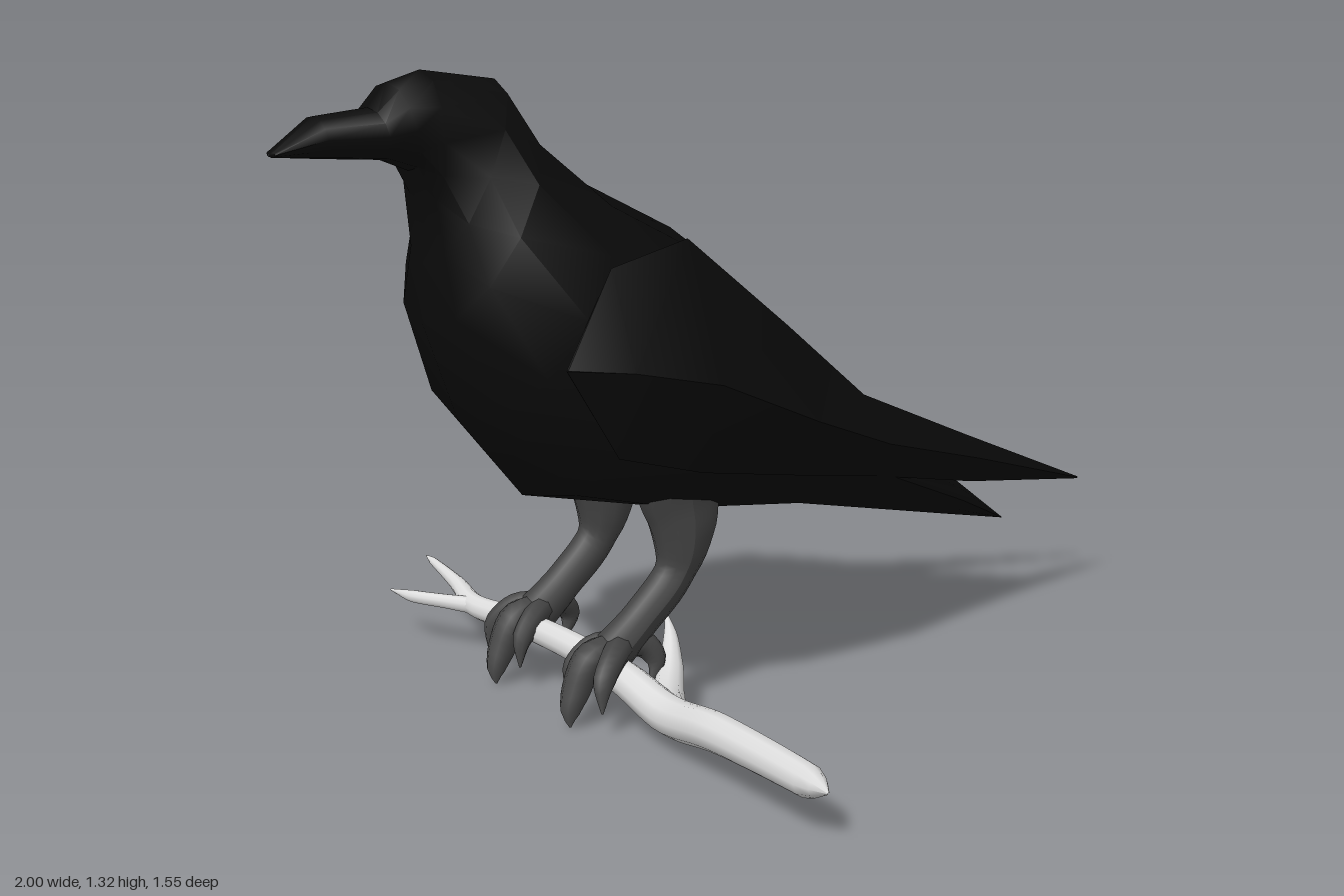
import * as THREE from 'three';
import { toCreasedNormals } from 'three/addons/utils/BufferGeometryUtils.js';

const material = (name, color) => {
  const m = new THREE.MeshStandardMaterial({ color });
  m.name = name;
  return m;
};

// Skin joining rings of [x, y, z] points; rings advance along +x and turn from +y to +z
function loft(rings, crease) {
  const n = rings[0].length, index = [];
  for (let i = 0; i < rings.length - 1; i++) {
    for (let j = 0; j < n; j++) {
      const a = i * n + j, b = i * n + (j + 1) % n;
      index.push(a, b, a + n, b, b + n, a + n);
    }
  }
  const g = new THREE.BufferGeometry();
  g.setAttribute('position', new THREE.Float32BufferAttribute(rings.flat(2), 3));
  g.setIndex(index);
  g.computeVertexNormals();
  return crease ? toCreasedNormals(g, crease) : g;
}

// Tube through [x, y, z, radius] points
function taperTube(points, segments = 20, sides = 10) {
  const curve = new THREE.CatmullRomCurve3(points.map(p => new THREE.Vector3(p[0], p[1], p[2])));
  const g = new THREE.TubeGeometry(curve, segments, 1, sides);
  const pos = g.attributes.position, v = new THREE.Vector3();
  for (let i = 0; i <= segments; i++) {
    const u = i / segments, centre = curve.getPointAt(u);
    const t = curve.getUtoTmapping(u) * (points.length - 1);
    const k = Math.min(Math.floor(t), points.length - 2);
    const r = THREE.MathUtils.lerp(points[k][3], points[k + 1][3], t - k);
    for (let j = 0; j <= sides; j++) {
      const id = i * (sides + 1) + j;
      v.fromBufferAttribute(pos, id).sub(centre).multiplyScalar(r).add(centre);
      pos.setXYZ(id, v.x, v.y, v.z);
    }
  }
  return g;
}

export function createModel() {
  const feather = material('black feathers', 0x0a0a0a);
  const skin = material('grey leg skin', 0x444444);
  const wood = material('pale wood', 0xdcdcdc);

  const model = new THREE.Group();
  model.name = 'perchedBird';
  const add = (parent, name, geometry, mat) => {
    const mesh = new THREE.Mesh(geometry, mat);
    mesh.name = name;
    parent.add(mesh);
    return mesh;
  };

  const bird = new THREE.Group();
  bird.name = 'bird';
  bird.position.z = -0.135;
  model.add(bird);

  // Beak, head, body and tail: top x, top y, bottom x, bottom y, half width
  const sections = [
    [-1.0, 1.18, -1.0, 1.178, 0.001],
    [-0.995, 1.186, -0.995, 1.174, 0.02],
    [-0.91, 1.245, -0.9, 1.165, 0.055],
    [-0.8, 1.255, -0.78, 1.155, 0.075],
    [-0.76, 1.3, -0.72, 1.13, 0.09],
    [-0.69, 1.32, -0.69, 1.06, 0.1],
    [-0.53, 1.295, -0.695, 0.95, 0.13],
    [-0.48, 1.2, -0.7, 0.83, 0.2],
    [-0.34, 1.08, -0.63, 0.63, 0.27],
    [-0.13, 0.97, -0.49, 0.455, 0.315],
    [0.06, 0.79, -0.25, 0.4, 0.31],
    [0.27, 0.58, 0.1, 0.355, 0.22],
    [0.6, 0.34, 0.58, 0.247, 0.095],
    [0.79, 0.2, 0.79, 0.198, 0.001],
  ];
  const sides = 12;
  const bodyRings = sections.map(([tx, ty, bx, by, w]) => Array.from({ length: sides }, (_, j) => {
    const a = j / sides * Math.PI * 2, s = Math.sin(a);
    const f = (1 + Math.cos(a)) / 2;
    return [bx + (tx - bx) * f, by + (ty - by) * f, w * Math.sign(s) * Math.abs(s) ** 0.85];
  }));
  add(bird, 'body', loft(bodyRings, 0.7), feather);

  // Wing stations: x, then [y, z] of the upper edge, outer ridge, lower edge and inner face
  const wingStations = [
    [-0.545, [0.772, 0.285], [0.77, 0.29], [0.768, 0.285], [0.77, 0.28]],
    [-0.43, [0.95, 0.26], [0.76, 0.345], [0.58, 0.28], [0.76, 0.2]],
    [-0.25, [0.99, 0.25], [0.72, 0.375], [0.53, 0.3], [0.72, 0.24]],
    [0.02, [0.78, 0.21], [0.6, 0.32], [0.475, 0.26], [0.6, 0.18]],
    [0.27, [0.59, 0.14], [0.5, 0.235], [0.42, 0.19], [0.48, 0.11]],
    [0.6, [0.445, 0.09], [0.4, 0.14], [0.34, 0.11], [0.39, 0.085]],
    [1.0, [0.273, 0.03], [0.271, 0.032], [0.268, 0.03], [0.27, 0.028]],
  ];
  const wingGeometry = loft(wingStations.map(([x, ...pts]) => pts.map(([y, z]) => [x, y, z])), 0.6);

  // Leg, flattened into a broad thigh towards the top
  const legGeometry = taperTube([
    [-0.215, 0.47, 0, 0.1], [-0.205, 0.39, 0, 0.08], [-0.225, 0.29, 0, 0.042],
    [-0.31, 0.2, 0, 0.04], [-0.375, 0.145, 0, 0.045], [-0.4, 0.125, 0, 0.02],
  ], 24, 12);
  const legPos = legGeometry.attributes.position;
  for (let i = 0; i < legPos.count; i++) {
    const k = THREE.MathUtils.smoothstep(legPos.getY(i), 0.25, 0.45);
    legPos.setZ(i, legPos.getZ(i) * (1 - 0.5 * k));
  }
  legGeometry.computeVertexNormals();

  // Toes curling over the perch
  const toes = {
    middleToe: [[-0.36, 0.155, 0, 0.03], [-0.43, 0.14, 0, 0.034], [-0.465, 0.075, 0, 0.03], [-0.478, 0.035, 0, 0.02], [-0.478, 0.004, 0, 0.002]],
    outerToe: [[-0.35, 0.155, 0, 0.03], [-0.4, 0.15, 0.045, 0.028], [-0.44, 0.11, 0.07, 0.024], [-0.45, 0.05, 0.08, 0.002]],
    innerToe: [[-0.35, 0.155, 0, 0.03], [-0.4, 0.15, -0.035, 0.026], [-0.44, 0.11, -0.05, 0.022], [-0.45, 0.05, -0.055, 0.002]],
    backToe: [[-0.37, 0.155, 0, 0.03], [-0.31, 0.15, 0.01, 0.028], [-0.285, 0.115, 0.02, 0.022], [-0.3, 0.06, 0.02, 0.002]],
  };

  // Mirrored wings and legs
  for (const [side, s] of [['right', 1], ['left', -1]]) {
    const half = new THREE.Group();
    half.name = side + 'Side';
    half.scale.z = s;
    bird.add(half);
    add(half, 'wing', wingGeometry, feather);
    const leg = new THREE.Group();
    leg.name = 'legAndFoot';
    leg.position.z = 0.155;
    half.add(leg);
    add(leg, 'leg', legGeometry, skin);
    for (const [name, path] of Object.entries(toes)) add(leg, name, taperTube(path, 14, 8), skin);
  }

  // Perch: main branch with a fork at one end and a curved twig
  const perch = new THREE.Group();
  perch.name = 'perch';
  model.add(perch);
  add(perch, 'branch', taperTube([
    [-0.39, 0.1, 0.772, 0.002], [-0.39, 0.103, 0.72, 0.032], [-0.385, 0.098, 0.42, 0.039],
    [-0.37, 0.07, 0.22, 0.041], [-0.375, 0.1, 0.06, 0.036], [-0.385, 0.115, -0.1, 0.031],
    [-0.4, 0.115, -0.35, 0.028], [-0.415, 0.11, -0.5, 0.025], [-0.395, 0.125, -0.62, 0.017], [-0.39, 0.148, -0.772, 0.006],
    [-0.39, 0.149, -0.78, 0.001],
  ], 50), wood);
  add(perch, 'forkTwig', taperTube([
    [-0.412, 0.11, -0.49, 0.02], [-0.455, 0.11, -0.56, 0.016],
    [-0.495, 0.108, -0.64, 0.014], [-0.51, 0.105, -0.72, 0.002],
  ]), wood);
  add(perch, 'curvedTwig', taperTube([
    [-0.375, 0.08, 0.25, 0.03], [-0.32, 0.065, 0.14, 0.035],
    [-0.25, 0.085, 0.04, 0.028], [-0.205, 0.13, -0.03, 0.015], [-0.185, 0.168, -0.08, 0.001],
  ]), wood);

  return model;
}
